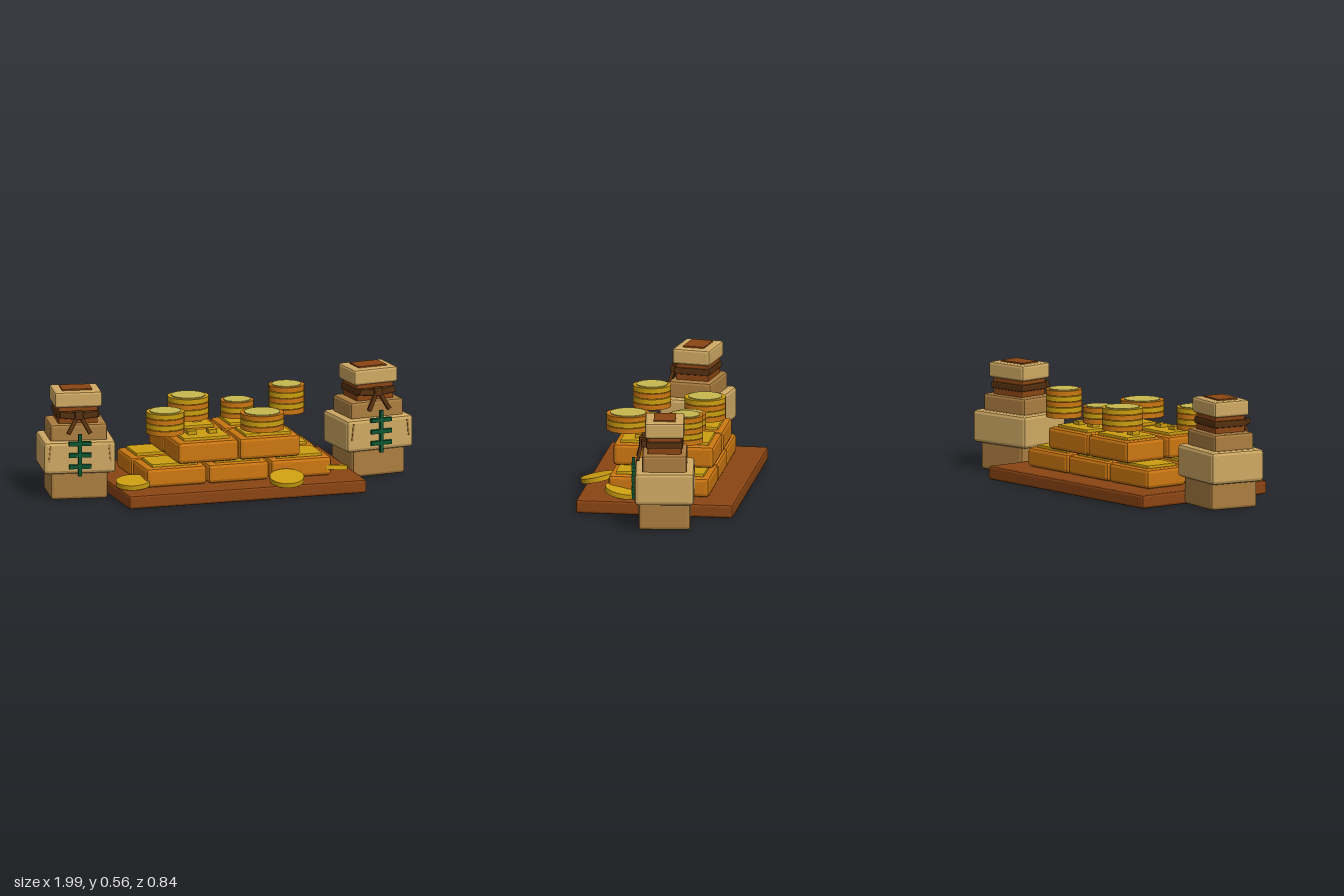
import * as THREE from 'three';
import { RoundedBoxGeometry } from 'three/addons/geometries/RoundedBoxGeometry.js';

function material(name, color) {
  const m = new THREE.MeshStandardMaterial({ color });
  m.name = name;
  return m;
}

export function createModel() {
  const wood = material('brown wood', 0x8b4513);
  const orange = material('orange gold', 0xcc7711);
  const gold = material('yellow gold', 0xcc9e10);
  const paleGold = material('pale gold', 0xc8b850);
  const lightCloth = material('light cloth', 0xcfa963);
  const darkCloth = material('dark cloth', 0xab7d40);
  const rope = material('dark rope', 0x55300f);
  const green = material('green', 0x0c5530);

  const model = new THREE.Group();
  model.name = 'treasurePile';

  function add(parent, name, geometry, mat, x, y, z) {
    const mesh = new THREE.Mesh(geometry, mat);
    mesh.name = name;
    mesh.position.set(x, y, z);
    parent.add(mesh);
    return mesh;
  }

  // Box with flat chamfered edges, or plain when the bevel is 0
  function block(w, h, d, bevel) {
    if (!bevel) return new THREE.BoxGeometry(w, h, d);
    const g = new RoundedBoxGeometry(w, h, d, 1, bevel);
    g.deleteAttribute('normal');
    g.computeVertexNormals();
    return g;
  }

  function group(name, x, y, z) {
    const g = new THREE.Group();
    g.name = name;
    g.position.set(x, y, z);
    model.add(g);
    return g;
  }

  // Wooden board
  add(model, 'board', block(1.27, 0.07, 0.81, 0.012), wood, 0, 0.04, -0.015);

  // Gold bars: two rows, three below and two above
  function bar(x, y, z, h, studs) {
    const g = group('goldBar', x, y, z);
    add(g, 'barBody', block(0.325, h, 0.25, 0.018), orange, 0, h / 2, 0);
    add(g, 'barPlate', block(0.245, 0.03, 0.185, 0.005), gold, 0, h, 0);
    if (studs) for (const s of [-1, 1]) {
      add(g, 'barStud', block(0.045, 0.02, 0.045, 0), gold, s * 0.055, h + 0.024, 0);
    }
  }
  for (const z of [0.118, -0.152]) {
    for (const x of [-0.335, -0.002, 0.332]) bar(x, 0.075, z, 0.1, false);
    for (const x of [-0.165, 0.165]) bar(x, 0.187, z, 0.113, true);
  }

  // Coin stacks: x, z, radius, number of coins
  const stacks = [
    [-0.365, 0.14, 0.098, 4], [-0.147, -0.165, 0.106, 4], [0.1, -0.12, 0.085, 3],
    [0.37, -0.137, 0.092, 5], [0.138, 0.19, 0.112, 3],
  ];
  for (const [x, z, r, count] of stacks) {
    const g = group('coinStack', x, 0.336, z);
    for (let i = 0; i < count; i++) {
      add(g, 'coin', new THREE.CylinderGeometry(r, r, 0.026, 24), i % 2 ? gold : orange, 0, 0.013 + i * 0.029, 0);
      add(g, 'coinRim', new THREE.CylinderGeometry(r * 0.82, r * 0.82, 0.008, 24),
        i === count - 1 ? paleGold : gold, 0, 0.027 + i * 0.029, 0);
    }
  }

  // Loose coins leaning on the board: x, y, z, tilts
  const loose = [
    [-0.555, 0.1, 0.195, 0.1, 0.06], [0.225, 0.098, 0.335, 0.22, 0.05], [0.51, 0.101, 0.17, -0.2, -0.08],
  ];
  for (const [x, y, z, rx, rz] of loose) {
    const coin = add(model, 'looseCoin', new THREE.CylinderGeometry(0.088, 0.088, 0.025, 24), gold, x, y, z);
    coin.rotation.set(rx, 0, rz);
  }

  // Tied money bags
  function bag(name, x, z, turn) {
    const g = group(name, x, 0, z);
    g.rotation.y = turn;
    // Stacked layers: name, width, depth, bottom, top, bevel, material
    const layers = [
      ['bagBase', 0.294, 0.266, 0.007, 0.16, 0.015, darkCloth],
      ['bagBelly', 0.372, 0.303, 0.144, 0.312, 0.018, lightCloth],
      ['bagShoulder', 0.294, 0.228, 0.3, 0.396, 0.014, darkCloth],
      ['bagNeck', 0.205, 0.175, 0.39, 0.485, 0.008, wood],
      ['bagTie', 0.222, 0.19, 0.424, 0.46, 0.008, rope],
      ['bagMouth', 0.245, 0.2, 0.48, 0.561, 0.012, lightCloth],
      ['bagOpening', 0.155, 0.112, 0.559, 0.568, 0, wood],
    ];
    for (const [part, w, d, y0, y1, bevel, mat] of layers) {
      add(g, part, block(w, y1 - y0, d, bevel), mat, 0, (y0 + y1) / 2, 0);
    }
    // Bow with knot, loops and hanging ends
    add(g, 'bowKnot', block(0.045, 0.045, 0.04, 0.008), rope, 0, 0.443, 0.112);
    for (const s of [-1, 1]) {
      const loop = add(g, 'bowLoop', block(0.085, 0.034, 0.028, 0.007), rope, s * 0.058, 0.443, 0.106);
      loop.rotation.z = s * 0.12;
      const tail = add(g, 'bowTail', block(0.02, 0.1, 0.016, 0), rope, s * 0.033, 0.395, 0.128);
      tail.rotation.set(-0.22, 0, s * 0.5);
      const crease = add(g, 'clothCrease', block(0.008, 0.085, 0.008, 0), darkCloth, s * 0.155, 0.25, 0.152);
      crease.rotation.z = s * 0.1;
    }
    // Plain green emblem: an upright with three crossbars
    add(g, 'emblemUpright', block(0.018, 0.22, 0.016, 0), green, 0, 0.245, 0.16);
    for (const y of [0.305, 0.245, 0.185]) {
      add(g, 'emblemCrossbar', block(0.115, 0.021, 0.02, 0), green, 0, y, 0.16);
    }
  }
  bag('rightBag', -0.79, -0.035, -0.16);
  bag('leftBag', 0.793, -0.092, 0.13);

  return model;
}
